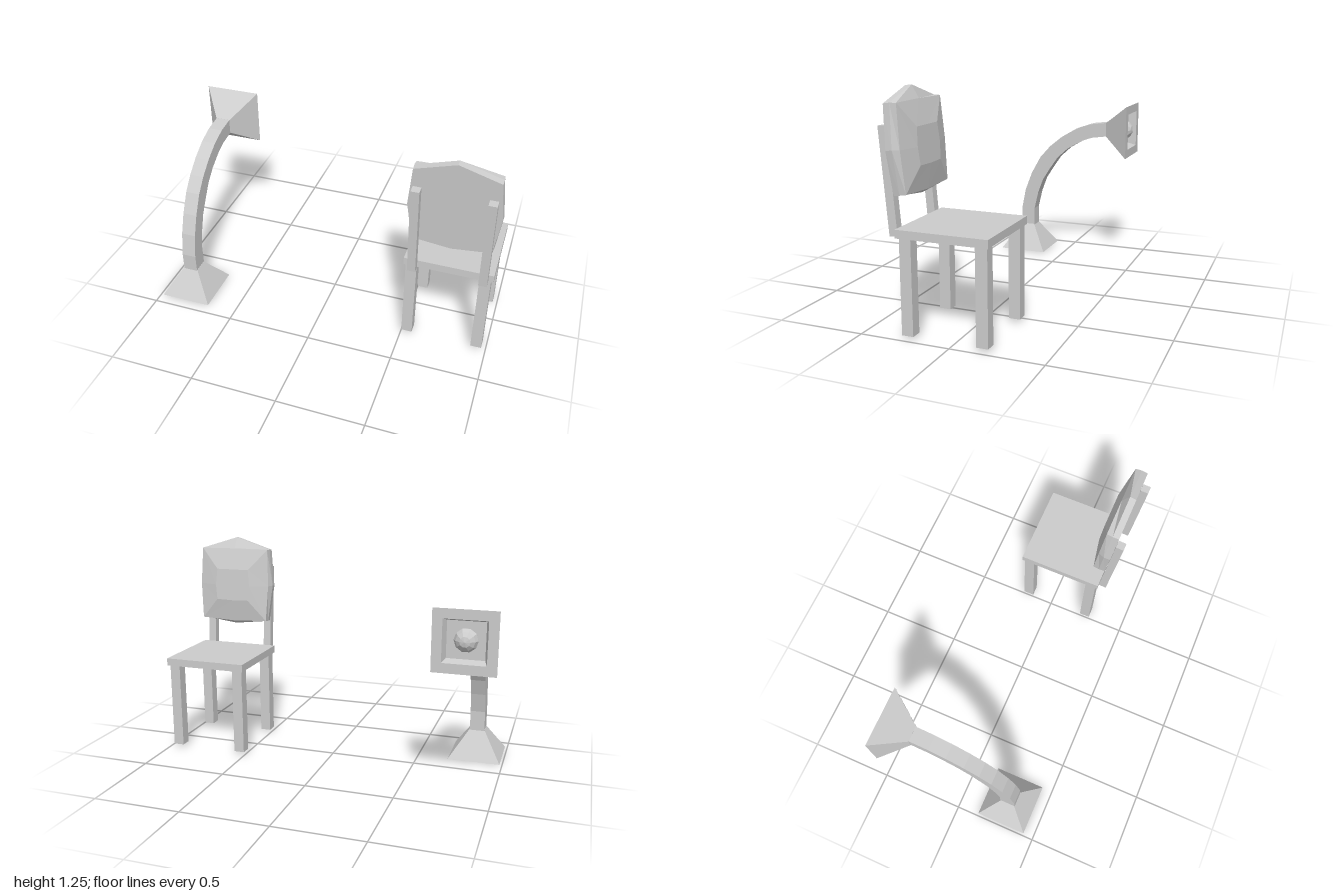
import * as THREE from 'three';

const material = new THREE.MeshStandardMaterial({ color: 0xcccccc, flatShading: true });

function add(parent, name, geometry, x = 0, y = 0, z = 0) {
  const mesh = new THREE.Mesh(geometry, material);
  mesh.name = name;
  mesh.position.set(x, y, z);
  parent.add(mesh);
  return mesh;
}

// Skins a list of equal-length rings and closes both ends with fans.
function loft(rings) {
  const out = [];
  const tri = (...points) => points.forEach((p) => out.push(...p));
  const n = rings[0].length;
  const centre = (ring) => [0, 1, 2].map((k) => ring.reduce((s, p) => s + p[k], 0) / n);
  const first = rings[0], last = rings[rings.length - 1];
  const start = centre(first), end = centre(last);
  for (let j = 0; j < n; j++) {
    const k = (j + 1) % n;
    for (let i = 0; i + 1 < rings.length; i++) {
      const [a, b, c, d] = [rings[i][j], rings[i][k], rings[i + 1][k], rings[i + 1][j]];
      tri(a, b, c);
      tri(a, c, d);
    }
    tri(first[k], first[j], start);
    tri(last[j], last[k], end);
  }
  const geometry = new THREE.BufferGeometry();
  geometry.setAttribute('position', new THREE.Float32BufferAttribute(out, 3));
  geometry.computeVertexNormals();
  return geometry;
}

const square = (half, y) => [[half, y, half], [half, y, -half], [-half, y, -half], [-half, y, half]];

function createLamp() {
  const lamp = new THREE.Group();
  lamp.name = 'lamp';
  const x = -0.832;

  add(lamp, 'lampBase', loft([square(0.153, 0), square(0.044, 0.165)]), x, 0, 0.283);

  // Curved arm: side outline as [z, y] pairs, extruded across x
  const outer = [[0.33, 0.16], [0.33, 0.27], [0.303, 0.41], [0.258, 0.53], [0.195, 0.645],
    [0.125, 0.725], [0.04, 0.795], [-0.06, 0.855], [-0.16, 0.89], [-0.275, 0.905]];
  const inner = [[-0.275, 0.815], [-0.17, 0.8], [-0.09, 0.77], [0, 0.715], [0.07, 0.65],
    [0.125, 0.57], [0.175, 0.49], [0.21, 0.395], [0.236, 0.28], [0.236, 0.16]];
  const outline = new THREE.Shape([...outer, ...inner].map(([z, y]) => new THREE.Vector2(-z, y)));
  const arm = new THREE.ExtrudeGeometry(outline, { depth: 0.086, bevelEnabled: false });
  add(lamp, 'lampArm', arm.translate(0, 0, -0.043).rotateY(Math.PI / 2), x);

  // Flared head with a recessed opening facing the back
  const head = loft([square(0.045, 0), square(0.168, 0.165), square(0.115, 0.165), square(0.1, 0.115)]);
  add(lamp, 'lampHead', head.rotateX(-Math.PI / 2), x, 0.86, -0.27);
  add(lamp, 'bulb', new THREE.SphereGeometry(0.065, 10, 7).rotateX(Math.PI / 2), x, 0.86, -0.374);
  return lamp;
}

function createChair() {
  const chair = new THREE.Group();
  chair.name = 'chair';
  const cx = 0.745;

  add(chair, 'seat', new THREE.BoxGeometry(0.495, 0.044, 0.5), 0.742, 0.547, 0.04);

  for (const x of [0.535, 0.944]) {
    for (const z of [0.243, -0.167]) {
      add(chair, 'leg', new THREE.BoxGeometry(0.062, 0.508, 0.064), x, 0.272, z);
    }
  }

  for (const x of [0.548, 0.938]) {
    const post = add(chair, 'backPost', new THREE.BoxGeometry(0.046, 0.55, 0.046), x, 0.799, 0.335);
    post.rotation.x = 0.083;
  }

  // Padded backrest: leaning rings of [half width, y] from top middle round to the left
  const ring = (depth, top, topCorner, side, bottomCorner, bottom) => {
    const at = (s, [w, y]) => [cx + s * w, y, 0.302 + 0.082 * (y - 0.7) - depth];
    return [at(1, [0, top]), at(1, topCorner), at(1, side), at(1, bottomCorner),
      at(1, [0, bottom]), at(-1, bottomCorner), at(-1, side), at(-1, topCorner)];
  };
  add(chair, 'backrest', loft([
    ring(0, 1.25, [0.223, 1.18], [0.245, 0.955], [0.215, 0.73], 0.705),
    ring(0.037, 1.255, [0.225, 1.185], [0.248, 0.96], [0.22, 0.735], 0.708),
    ring(0.072, 1.188, [0.222, 1.185], [0.232, 0.96], [0.218, 0.74], 0.73),
    ring(0.104, 1.06, [0.105, 1.06], [0.115, 0.96], [0.105, 0.868], 0.865),
  ]));
  return chair;
}

export function createModel() {
  const model = new THREE.Group();
  model.name = 'chairAndLamp';
  model.add(createLamp(), createChair());
  return model;
}
